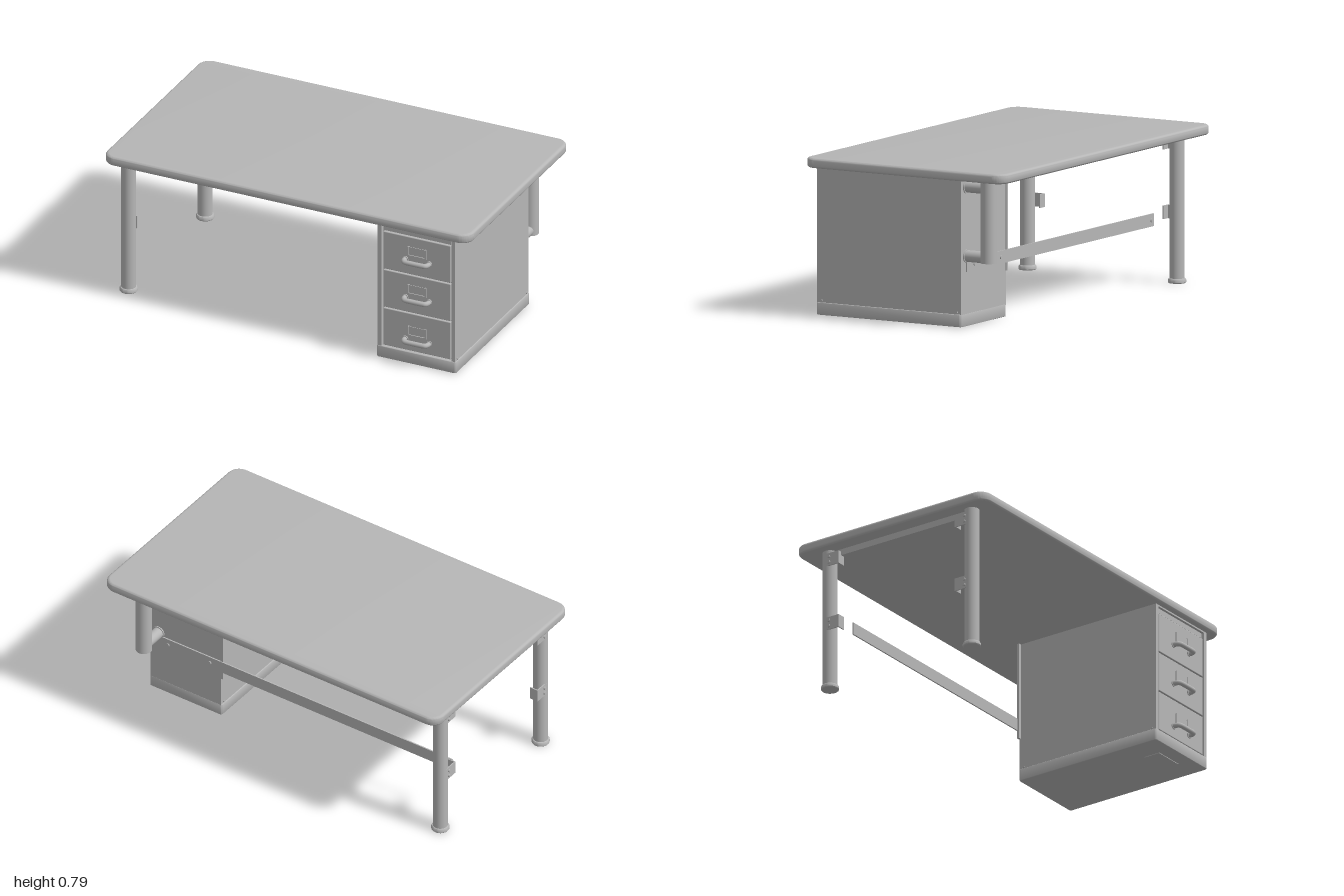
import * as THREE from 'three';
import { toCreasedNormals } from 'three/addons/utils/BufferGeometryUtils.js';
import { RoundedBoxGeometry } from 'three/addons/geometries/RoundedBoxGeometry.js';

export function createModel() {
  const root = new THREE.Group();
  root.name = 'desk';
  const grey = new THREE.MeshStandardMaterial({ color: 0xb6b6b6 });
  grey.name = 'grey';

  const add = (name, geo, parent = root) => {
    const mesh = new THREE.Mesh(geo, grey);
    mesh.name = name;
    parent.add(mesh);
    return mesh;
  };
  const group = (name) => {
    const g = new THREE.Group();
    g.name = name;
    root.add(g);
    return g;
  };
  // box given by its limits, with an optional edge radius
  const box = (name, [x0, x1], [y0, y1], [z0, z1], parent, radius = 0) => {
    const size = [x1 - x0, y1 - y0, z1 - z0];
    const geo = radius ? new RoundedBoxGeometry(...size, 3, radius) : new THREE.BoxGeometry(...size);
    geo.translate((x0 + x1) / 2, (y0 + y1) / 2, (z0 + z1) / 2);
    return add(name, geo, parent);
  };
  // cylinder between two points
  const rod = (name, a, b, r, parent, sides = 32) => {
    const from = new THREE.Vector3(...a), to = new THREE.Vector3(...b);
    const mesh = add(name, new THREE.CylinderGeometry(r, r, from.distanceTo(to), sides), parent);
    mesh.position.copy(from).add(to).multiplyScalar(0.5);
    mesh.quaternion.setFromUnitVectors(new THREE.Vector3(0, 1, 0), to.sub(from).normalize());
    return mesh;
  };
  // horizontal slab with round corners and softened edges
  const slab = (name, [x0, x1], [y0, y1], [z0, z1], corner, bevel, parent) => {
    const w = (x1 - x0) / 2 - bevel, d = (z1 - z0) / 2 - bevel, r = corner - bevel;
    const s = new THREE.Shape();
    s.absarc(w - r, d - r, r, 0, Math.PI / 2);
    s.absarc(r - w, d - r, r, Math.PI / 2, Math.PI);
    s.absarc(r - w, r - d, r, Math.PI, Math.PI * 1.5);
    s.absarc(w - r, r - d, r, Math.PI * 1.5, Math.PI * 2);
    const geo = new THREE.ExtrudeGeometry(s, {
      depth: y1 - y0 - 2 * bevel, bevelSize: bevel, bevelThickness: bevel, bevelSegments: 5, curveSegments: 10,
    });
    geo.rotateX(-Math.PI / 2);
    geo.translate((x0 + x1) / 2, y0 + bevel, (z0 + z1) / 2);
    return add(name, toCreasedNormals(geo, 0.6), parent);
  };

  slab('tabletop', [-1, 1], [0.74, 0.79], [-0.58, 0.567], 0.065, 0.015);

  // drawer cabinet
  const cabinet = group('cabinet');
  const front = 0.535, back = -0.29;
  box('cabinetBody', [0.49, 0.912], [0.06, 0.74], [back, 0.515], cabinet);
  slab('plinth', [0.485, 0.917], [0.003, 0.065], [back - 0.001, 0.538], 0.012, 0.004, cabinet);
  box('plinthPad', [0.62, 0.78], [0, 0.004], [0.37, 0.46], cabinet);
  box('frameSideRight', [0.49, 0.512], [0.06, 0.74], [0.51, front], cabinet);
  box('frameSideLeft', [0.892, 0.912], [0.06, 0.74], [0.51, front], cabinet);
  box('frameTop', [0.51, 0.894], [0.732, 0.74], [0.51, front], cabinet);
  box('frameTopRail', [0.52, 0.886], [0.702, 0.729], [0.51, 0.525], cabinet);
  for (const z of [0.51, -0.265]) {
    rod('sideRivet', [0.908, 0.074, z], [0.917, 0.074, z], 0.006, cabinet, 16);
    rod('sideRivet', [0.485, 0.074, z], [0.495, 0.074, z], 0.006, cabinet, 16);
  }
  // mounting strip down the rear inner corner
  box('cornerStrip', [0.474, 0.491], [0.23, 0.74], [back - 0.004, back + 0.008], cabinet);

  // drawers: bottom, top and handle height
  for (const [y0, y1, hy] of [[0.493, 0.698, 0.573], [0.282, 0.487, 0.363], [0.071, 0.276, 0.133]]) {
    const drawer = group('drawer');
    box('drawerFront', [0.519, 0.886], [y0, y1], [0.5, 0.532], drawer, 0.004);
    // label holder: backing with three raised edges
    const l0 = hy + 0.022, l1 = hy + 0.072;
    box('labelPlate', [0.66, 0.75], [l0, l1], [0.53, 0.535], drawer);
    box('labelEdgeBottom', [0.655, 0.755], [l0, l0 + 0.007], [0.53, 0.54], drawer);
    for (const x of [0.655, 0.748]) box('labelEdgeSide', [x, x + 0.007], [l0, l1 + 0.003], [0.53, 0.54], drawer);
    // bar handle with bent ends
    const path = new THREE.CatmullRomCurve3([
      [0.64, 0.527], [0.64, 0.55], [0.652, 0.566], [0.705, 0.568], [0.758, 0.566], [0.77, 0.55], [0.77, 0.527],
    ].map(([x, z]) => new THREE.Vector3(x, hy, z)), false, 'catmullrom', 0.35);
    add('handle', new THREE.TubeGeometry(path, 48, 0.0125, 14), drawer);
    for (const x of [0.64, 0.77]) rod('handleBase', [x, hy, 0.53], [x, hy, 0.537], 0.016, drawer, 20);
  }

  // left-hand pair of full-length legs with feet and brackets
  const legX = -0.915;
  for (const [name, z, inward] of [['frontLeg', 0.435, -1], ['backLeg', -0.422, 1]]) {
    const leg = group(name);
    rod('legTube', [legX, 0.01, z], [legX, 0.742, z], 0.037, leg);
    const foot = [[0, 0], [0.042, 0], [0.045, 0.004], [0.045, 0.015], [0.041, 0.022], [0.036, 0.024]]
      .map(([r, y]) => new THREE.Vector2(r, y));
    add('foot', toCreasedNormals(new THREE.LatheGeometry(foot, 32), 0.6), leg).position.set(legX, 0, z);
    for (const y of [0.31, 0.655]) {
      const far = z + inward * 0.078;
      const span = [Math.min(z, far), Math.max(z, far)];
      box('bracketPlate', [-0.952, -0.946], [y, y + 0.067], span, leg);
      box('bracketEnd', [-0.952, -0.905], [y, y + 0.067], inward > 0 ? [far - 0.006, far] : [far, far + 0.006], leg);
      for (const dy of [0.018, 0.048])
        rod('bracketBolt', [-0.945, y + dy, z + inward * 0.02], [-0.96, y + dy, z + inward * 0.02], 0.008, leg, 16);
    }
  }
  box('sideRail', [-0.93, -0.905], [0.703, 0.735], [-0.4, 0.4]);

  // short hanging leg behind the cabinet, joined by two stub tubes
  const hanger = group('shortLeg');
  rod('legTube', [0.862, 0.325, -0.417], [0.862, 0.742, -0.417], 0.041, hanger);
  for (const y of [0.695, 0.351]) {
    rod('stubTube', [0.862, y, back], [0.862, y, -0.4], 0.029, hanger);
    rod('stubFlange', [0.862, y, back], [0.862, y, back - 0.006], 0.034, hanger);
  }

  // long flat stretcher across the back with end bolts
  const stretcher = group('stretcher');
  box('stretcherBar', [-0.9, 0.87], [0.273, 0.336], [back - 0.008, back - 0.001], stretcher);
  for (const x of [-0.875, 0.55, 0.8])
    rod('stretcherBolt', [x, 0.304, back - 0.004], [x, 0.304, back - 0.014], 0.009, stretcher, 16);

  return root;
}
